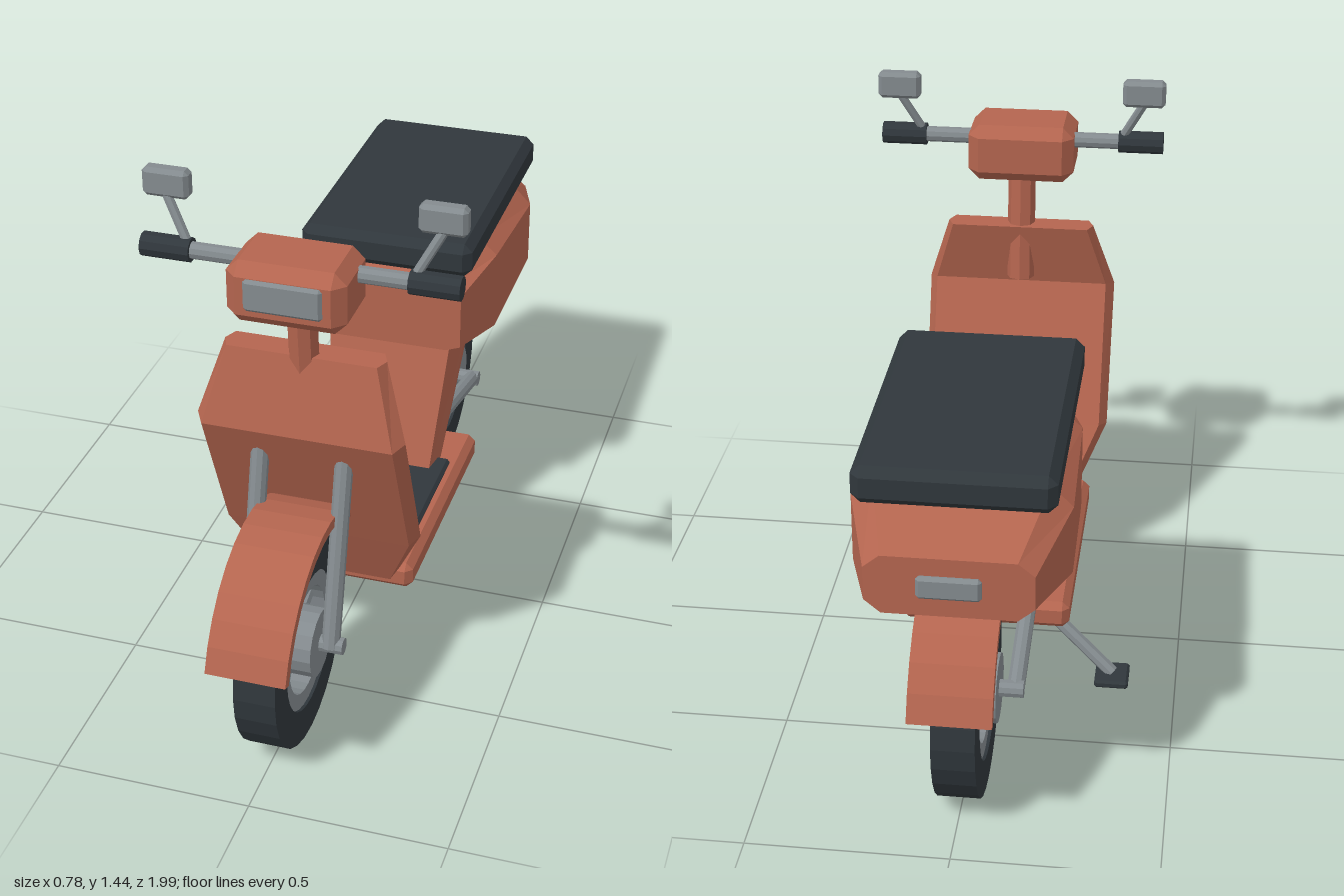
import * as THREE from 'three';
import { ConvexGeometry } from 'three/addons/geometries/ConvexGeometry.js';

const material = (color) => new THREE.MeshStandardMaterial({ color, flatShading: true });
const V = (x, y, z) => new THREE.Vector3(x, y, z);

// Box with flat chamfered edges
function chamferBox(w, h, d, c) {
  const pts = [];
  for (const sx of [-1, 1]) for (const sy of [-1, 1]) for (const sz of [-1, 1]) {
    const x = w / 2, y = h / 2, z = d / 2;
    pts.push(V(sx * x, sy * (y - c), sz * (z - c)));
    pts.push(V(sx * (x - c), sy * y, sz * (z - c)));
    pts.push(V(sx * (x - c), sy * (y - c), sz * z));
  }
  return new ConvexGeometry(pts);
}

// Closed solid through matching cross-section loops, always facing outward
function loft(loops) {
  const n = loops[0].length;
  const tris = [];
  for (let i = 0; i < loops.length - 1; i++) {
    for (let j = 0; j < n; j++) {
      const k = (j + 1) % n;
      const [a, b, c, d] = [loops[i][j], loops[i][k], loops[i + 1][k], loops[i + 1][j]];
      tris.push([a, b, c], [a, c, d]);
    }
  }
  const first = loops[0], last = loops[loops.length - 1];
  for (let j = 1; j < n - 1; j++) {
    tris.push([first[0], first[j + 1], first[j]], [last[0], last[j], last[j + 1]]);
  }
  const volume = tris.reduce((s, [a, b, c]) => s + a.dot(b.clone().cross(c)), 0);
  const points = tris.flatMap(([a, b, c]) => (volume > 0 ? [a, b, c] : [a, c, b]));
  const g = new THREE.BufferGeometry().setFromPoints(points);
  g.computeVertexNormals();
  return g;
}

// Horizontal slice of a panel with bevelled sides: front z, back z, half width
function panelSlice([yFront, yBack, zFront, zBack, w, bevel]) {
  const v = w - bevel, ym = (yFront + yBack) / 2, zm = (zFront + zBack) / 2;
  return [
    V(-v, yFront, zFront), V(v, yFront, zFront), V(w, ym, zm),
    V(v, yBack, zBack), V(-v, yBack, zBack), V(-w, ym, zm),
  ];
}

export function createModel() {
  const model = new THREE.Group();
  model.name = 'scooter';
  const paint = material(0xb4654f), dark = material(0x30373c), metal = material(0x848b8f);

  function add(name, geometry, mat, x = 0, y = 0, z = 0, parent = model) {
    const mesh = new THREE.Mesh(geometry, mat);
    mesh.name = name;
    mesh.position.set(x, y, z);
    parent.add(mesh);
    return mesh;
  }

  // Round bar between two points
  function rod(name, a, b, r, mat, sides = 10, parent = model) {
    const dir = b.clone().sub(a);
    const mid = a.clone().add(b).multiplyScalar(0.5);
    const mesh = add(name, new THREE.CylinderGeometry(r, r, dir.length(), sides), mat, mid.x, mid.y, mid.z, parent);
    mesh.quaternion.setFromUnitVectors(V(0, 1, 0), dir.normalize());
    return mesh;
  }

  // Rectangular-section ring around the x axis
  function ring(rIn, rOut, half) {
    const profile = [[rIn, -half], [rOut, -half], [rOut, half], [rIn, half], [rIn, -half]];
    return new THREE.LatheGeometry(profile.map(([r, y]) => new THREE.Vector2(r, y)), 28).rotateZ(Math.PI / 2);
  }

  // Wheels with tyre, rim, hub, axle and five spokes
  function wheel(name, z) {
    const g = new THREE.Group();
    g.name = name;
    g.position.set(0, 0.27, z);
    add('tyre', ring(0.18, 0.27, 0.053), dark, 0, 0, 0, g);
    add('rim', ring(0.138, 0.184, 0.045), metal, 0, 0, 0, g);
    rod('hub', V(-0.08, 0, 0), V(0.08, 0, 0), 0.088, metal, 16, g);
    rod('axle', V(-0.14, 0, 0), V(0.14, 0, 0), 0.022, metal, 10, g);
    for (let i = 0; i < 5; i++) {
      const a = (i * Math.PI * 2) / 5;
      const out = V(0, Math.cos(a), Math.sin(a));
      rod('spoke', out.clone().multiplyScalar(0.07), out.clone().multiplyScalar(0.15), 0.019, metal, 8, g);
    }
    model.add(g);
  }
  wheel('frontWheel', 0.67);
  wheel('rearWheel', -0.67);

  // Mudguards: an arc strip swept across the width
  function fender(name, z, from, to) {
    const steps = 12, outer = [], inner = [];
    for (let i = 0; i <= steps; i++) {
      const a = THREE.MathUtils.degToRad(from + ((to - from) * i) / steps);
      outer.push(new THREE.Vector2(Math.cos(a) * 0.342, Math.sin(a) * 0.342));
      inner.unshift(new THREE.Vector2(Math.cos(a) * 0.315, Math.sin(a) * 0.315));
    }
    const g = new THREE.ExtrudeGeometry(new THREE.Shape([...outer, ...inner]), { depth: 0.2, bevelEnabled: false });
    g.translate(0, 0, -0.1).rotateY(-Math.PI / 2);
    add(name, g, paint, 0, 0.275, z);
  }
  fender('frontFender', 0.67, 18, 150);
  fender('rearFender', -0.67, 18, 162);
  model.getObjectByName('rearFender').rotation.y = Math.PI;

  // Leg shield, bent at chest height
  add('legShield', loft([
    [0.27, 0.3, 0.37, 0.3, 0.185, 0.015],
    [0.44, 0.46, 0.444, 0.37, 0.26, 0.02],
    [0.81, 0.83, 0.6, 0.525, 0.262, 0.022],
    [1.01, 1.01, 0.55, 0.48, 0.202, 0.015],
  ].map(panelSlice)), paint);

  // Floor and mat
  add('floorBoard', chamferBox(0.44, 0.075, 0.68, 0.018), paint, 0, 0.263, 0.008);
  add('floorMat', chamferBox(0.375, 0.03, 0.45, 0.008), dark, 0, 0.297, 0.06);

  // Slanted pillar under the seat
  add('seatPillar', loft([
    [0.29, 0.29, -0.09, -0.25, 0.155, 0.012],
    [0.66, 0.66, -0.2, -0.48, 0.185, 0.015],
  ].map(panelSlice)), paint);

  // Rear body: z, top, upper crease, lower crease, bottom, half width
  add('rearBody', loft([
    [-0.19, 0.83, 0.81, 0.655, 0.64, 0.2],
    [-0.38, 0.893, 0.85, 0.63, 0.585, 0.25],
    [-0.74, 0.888, 0.835, 0.66, 0.598, 0.26],
    [-0.965, 0.812, 0.78, 0.695, 0.662, 0.195],
  ].map(([z, top, up, low, bottom, w]) => [
    V(-w * 0.8, top, z), V(w * 0.8, top, z), V(w, up, z), V(w, low, z),
    V(w * 0.8, bottom, z), V(-w * 0.8, bottom, z), V(-w, low, z), V(-w, up, z),
  ])), paint);
  add('tailLight', chamferBox(0.15, 0.058, 0.03, 0.008), metal, 0, 0.738, -0.962);
  add('seat', chamferBox(0.47, 0.095, 0.75, 0.022), dark, 0, 0.938, -0.515);

  // Steering column and headlight housing
  rod('steeringColumn', V(0, 0.85, 0.512), V(0, 1.17, 0.54), 0.038, paint, 8);
  add('headlightHousing', chamferBox(0.29, 0.157, 0.2, 0.03), paint, 0, 1.219, 0.572);
  add('headlight', chamferBox(0.19, 0.082, 0.03, 0.008), metal, 0, 1.225, 0.665);
  rod('handlebar', V(-0.28, 1.25, 0.545), V(0.28, 1.25, 0.545), 0.021, metal);

  // Paired parts on both sides
  for (const s of [-1, 1]) {
    rod('handGrip', V(s * 0.265, 1.25, 0.545), V(s * 0.387, 1.25, 0.545), 0.03, dark);
    rod('mirrorStem', V(s * 0.27, 1.255, 0.545), V(s * 0.335, 1.375, 0.515), 0.012, metal, 8);
    add('mirror', chamferBox(0.115, 0.072, 0.042, 0.01), metal, s * 0.333, 1.402, 0.51);
    rod('frontFork', V(s * 0.107, 0.265, 0.675), V(s * 0.107, 0.745, 0.552), 0.023, metal);
    rod('swingArm', V(s * 0.12, 0.365, -0.27), V(s * 0.12, 0.27, -0.67), 0.022, metal);
  }

  // Kickstand on the right side
  rod('kickstandLeg', V(-0.06, 0.24, -0.12), V(-0.33, 0.02, -0.21), 0.018, metal, 8);
  add('kickstandFoot', chamferBox(0.09, 0.022, 0.1, 0.006), dark, -0.33, 0.012, -0.212);

  return model;
}
